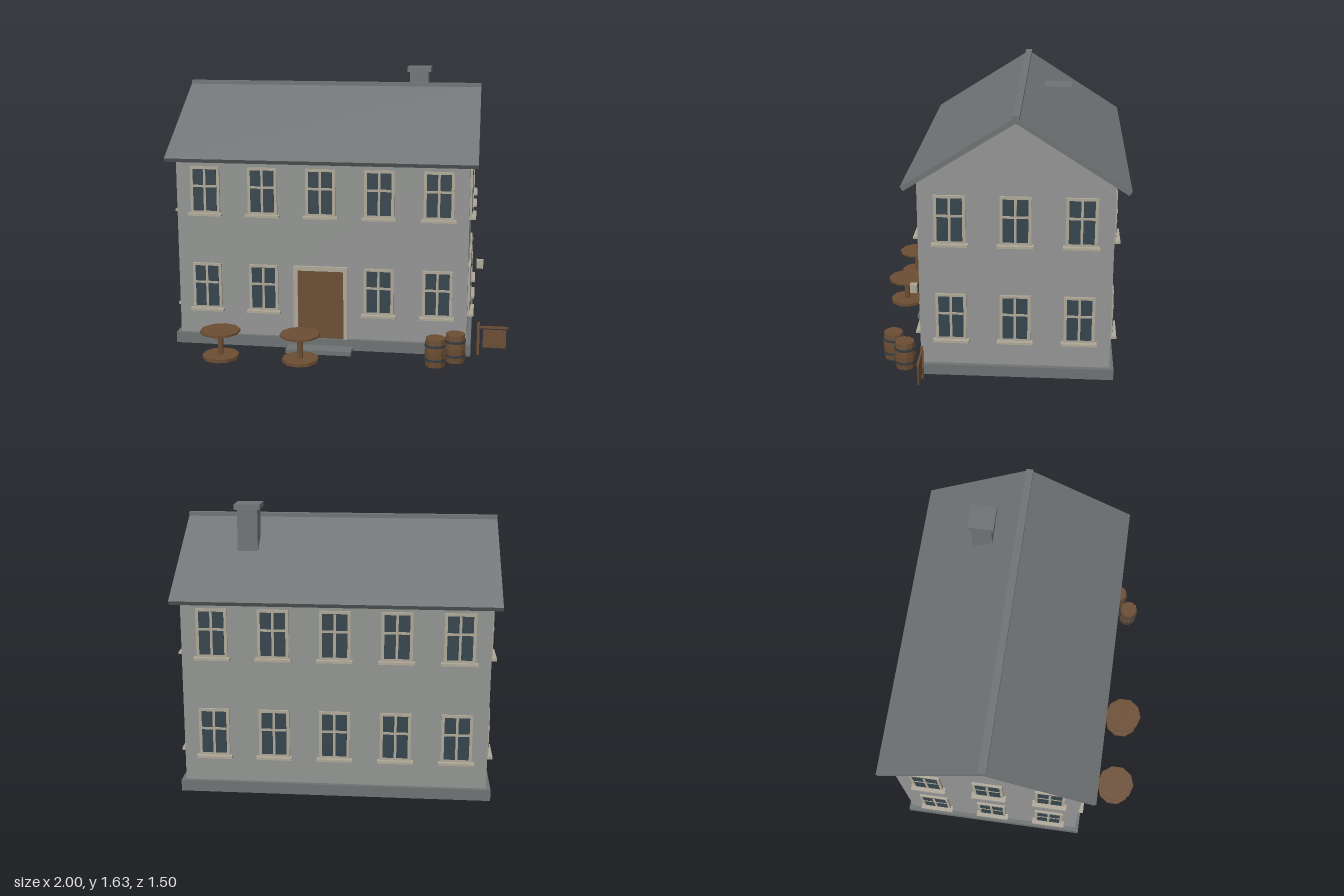
import * as THREE from 'three';

const mat = (name, color) => {
  const m = new THREE.MeshStandardMaterial({ color });
  m.name = name;
  return m;
};

export function createModel() {
  const wall = mat('wall render', 0x929492);
  const slate = mat('roof slate', 0x6e7273);
  const trim = mat('stone trim', 0xaea797);
  const glass = mat('window glass', 0x35444c);
  const wood = mat('brown wood', 0x6b4d33);
  const iron = mat('barrel iron', 0x363d40);

  const model = new THREE.Group();
  model.name = 'inn';

  const group = (name, parent, x = 0, y = 0, z = 0) => {
    const g = new THREE.Group();
    g.name = name;
    g.position.set(x, y, z);
    parent.add(g);
    return g;
  };
  const mesh = (name, parent, geometry, material, x = 0, y = 0, z = 0) => {
    const m = new THREE.Mesh(geometry, material);
    m.name = name;
    m.position.set(x, y, z);
    parent.add(m);
    return m;
  };
  // Box given by its centre in x and z and its bottom in y
  const box = (name, parent, material, w, h, d, x, y, z) =>
    mesh(name, parent, new THREE.BoxGeometry(w, h, d), material, x, y + h / 2, z);
  // Faceted copy of a round geometry
  const facet = (geometry) => {
    const g = geometry.toNonIndexed();
    g.computeVertexNormals();
    return g;
  };
  const drum = (name, parent, material, r, h, y, sides = 10) =>
    mesh(name, parent, facet(new THREE.CylinderGeometry(r, r, h, sides)), material, 0, y + h / 2, 0);
  // Gable profile extruded along x
  const alongX = (points, length) => {
    const shape = new THREE.Shape(points.map(([x, y]) => new THREE.Vector2(x, y)));
    return new THREE.ExtrudeGeometry(shape, { depth: length, bevelEnabled: false })
      .translate(0, 0, -length / 2).rotateY(Math.PI / 2);
  };

  // House body
  const W = 1.72, D = 1.076;
  const house = group('house', model, -0.1, 0, -0.133);
  mesh('walls', house, alongX([[-D / 2, 0.03], [D / 2, 0.03], [D / 2, 1.165], [0, 1.508], [-D / 2, 1.165]], W), wall);
  box('plinth', house, slate, 1.77, 0.065, 1.122, 0, 0, 0);

  // Roof
  mesh('roof', house, alongX([
    [-0.604, 1.117], [0, 1.502], [0.604, 1.117], [0.62, 1.14], [0, 1.534], [-0.62, 1.14],
  ], 1.81), slate);
  box('ridgeCap', house, slate, 1.81, 0.03, 0.042, 0, 1.513, 0);

  // Chimney
  box('chimneyStack', house, slate, 0.116, 0.3, 0.116, 0.517, 1.3, -0.215);
  box('chimneyCap', house, slate, 0.148, 0.03, 0.148, 0.517, 1.597, -0.215);

  // Sash window facing +z, with its sill at y = 0
  const addWindow = (parent, x, y) => {
    const w = group('window', parent, x, y, 0);
    box('frame', w, trim, 0.174, 0.285, 0.03, 0, 0, -0.002);
    box('pane', w, glass, 0.14, 0.247, 0.006, 0, 0.023, 0.013);
    box('mullion', w, trim, 0.014, 0.247, 0.006, 0, 0.023, 0.0155);
    box('transom', w, trim, 0.14, 0.014, 0.006, 0, 0.163, 0.0154);
    box('sill', w, trim, 0.202, 0.014, 0.06, 0, -0.006, 0.007);
  };
  const storeys = [0.217, 0.8];
  const addFacade = (name, angle, distance, columns, skipMiddle) => {
    const side = group(name, house, Math.sin(angle) * distance, 0, Math.cos(angle) * distance);
    side.rotation.y = angle;
    storeys.forEach((y, floor) => columns.forEach((x) => {
      if (!(skipMiddle && floor === 0 && x === 0)) addWindow(side, x, y);
    }));
    return side;
  };
  const five = [-0.686, -0.343, 0, 0.343, 0.686], three = [-0.36, 0, 0.36];
  const front = addFacade('frontWindows', 0, D / 2, five, true);
  addFacade('backWindows', Math.PI, D / 2, five, false);
  addFacade('leftWindows', Math.PI / 2, W / 2, three, false);
  addFacade('rightWindows', -Math.PI / 2, W / 2, three, false);

  // Front door
  const door = group('frontDoor', front);
  box('doorLeaf', door, wood, 0.276, 0.42, 0.02, 0, 0.06, 0);
  for (const s of [-1, 1]) box('doorJamb', door, trim, 0.026, 0.445, 0.04, s * 0.149, 0.06, 0);
  box('doorLintel', door, trim, 0.324, 0.026, 0.04, 0, 0.479, 0);
  box('doorStep', door, slate, 0.386, 0.025, 0.14, 0, 0, 0.05);

  // Round tables
  for (const x of [-0.655, -0.185]) {
    const table = group('table', model, x, 0, 0.634);
    drum('tableTop', table, wood, 0.117, 0.012, 0.154);
    drum('tablePost', table, wood, 0.017, 0.14, 0.017, 8);
    drum('tableFoot', table, wood, 0.107, 0.019, 0);
  }

  // Barrels
  const stave = [[0, 0], [0.056, 0], [0.06, 0.042], [0.0625, 0.082], [0.06, 0.122], [0.056, 0.164], [0, 0.164]]
    .map(([r, y]) => new THREE.Vector2(r, y));
  for (const [x, z] of [[0.588, 0.592], [0.698, 0.508]]) {
    const barrel = group('barrel', model, x, 0, z);
    mesh('barrelBody', barrel, facet(new THREE.LatheGeometry(stave, 10)), wood);
    for (const y of [0.034, 0.117]) drum('barrelHoop', barrel, iron, 0.063, 0.015, y);
  }

  // Hanging sign
  const sign = group('hangingSign', model, 0, 0, 0.39);
  box('signPost', sign, wood, 0.015, 0.198, 0.015, 0.828, 0, 0);
  box('signArm', sign, wood, 0.175, 0.012, 0.012, 0.912, 0.164, 0);
  box('signBoard', sign, wood, 0.134, 0.108, 0.008, 0.922, 0.047, 0);

  // Corner lantern
  box('lantern', model, trim, 0.038, 0.048, 0.038, 0.826, 0.537, 0.424);

  return model;
}
